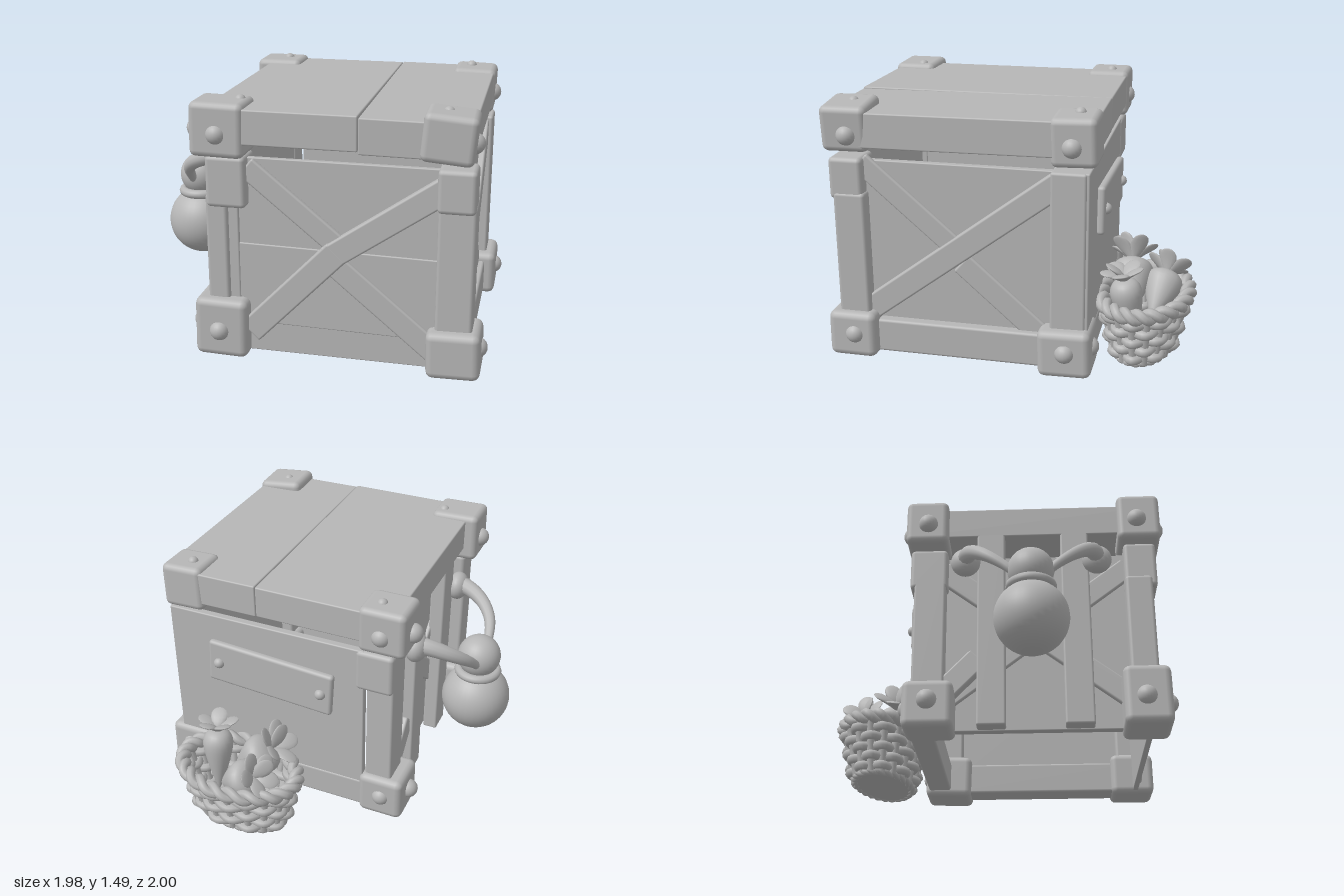
import * as THREE from 'three';
import { RoundedBoxGeometry } from 'three/addons/geometries/RoundedBoxGeometry.js';

const grey = new THREE.MeshStandardMaterial({ color: 0xb6b6b6 });
grey.name = 'plain grey';
const V = (x, y, z) => new THREE.Vector3(x, y, z);

function add(parent, name, geometry, pos = [0, 0, 0], rot = [0, 0, 0]) {
  const mesh = new THREE.Mesh(geometry, grey);
  mesh.name = name;
  mesh.position.set(...pos);
  mesh.rotation.set(...rot);
  parent.add(mesh);
  return mesh;
}

// Softened block given by its limits on each axis
function block(parent, name, [x0, x1], [y0, y1], [z0, z1], radius = 0.015, rot) {
  const w = x1 - x0, h = y1 - y0, d = z1 - z0;
  const r = Math.min(radius, w / 2.1, h / 2.1, d / 2.1);
  return add(parent, name, new RoundedBoxGeometry(w, h, d, 2, r),
    [(x0 + x1) / 2, (y0 + y1) / 2, (z0 + z1) / 2], rot);
}

function bolt(parent, x, y, z, r = 0.055) {
  add(parent, 'bolt', new THREE.SphereGeometry(r, 20, 14), [x, y, z]);
}

function tube(parent, name, points, radius, closed = false, steps = 40, sides = 8) {
  const curve = new THREE.CatmullRomCurve3(points, closed);
  return add(parent, name, new THREE.TubeGeometry(curve, steps, radius, sides, closed));
}

// Diagonal plank on a front-facing (xy) or side-facing (zy) wall
function brace(parent, name, a, b, width, depth, at, side = false) {
  const dx = b[0] - a[0], dy = b[1] - a[1], len = Math.hypot(dx, dy), ang = Math.atan2(dy, dx);
  const cx = (a[0] + b[0]) / 2, cy = (a[1] + b[1]) / 2;
  if (side) {
    add(parent, name, new RoundedBoxGeometry(depth, width, len, 2, 0.012), [at, cy, cx], [-ang, 0, 0]);
  } else {
    add(parent, name, new RoundedBoxGeometry(len, width, depth, 2, 0.012), [cx, cy, at], [0, 0, ang]);
  }
}

function buildCrate() {
  const g = new THREE.Group();
  g.name = 'crate';
  // Walls
  block(g, 'frontBoardLow', [-0.4, 0.76], [0.075, 0.26], [0.835, 0.868], 0.006);
  block(g, 'frontBoardMiddle', [-0.4, 0.76], [0.24, 0.695], [0.835, 0.874], 0.006, [0, 0, -0.012]);
  block(g, 'frontBoardTop', [-0.4, 0.76], [0.68, 1.175], [0.835, 0.866], 0.006);
  block(g, 'rightWall', [0.79, 0.83], [0.1, 1.17], [-0.42, 0.85], 0.006);
  block(g, 'leftWall', [-0.4, -0.35], [0.09, 1.17], [-0.42, 0.85], 0.006);
  block(g, 'backWall', [-0.33, 0.88], [0.1, 1.18], [-0.465, -0.42], 0.008);

  // Upright posts with capped tops
  block(g, 'frontRightPost', [0.71, 0.905], [0.25, 1.0], [0.74, 0.915], 0.02);
  block(g, 'frontRightCap', [0.705, 0.9], [0.96, 1.19], [0.75, 0.935], 0.025);
  block(g, 'frontLeftPost', [-0.52, -0.4], [0.3, 0.97], [0.75, 0.905], 0.02);
  block(g, 'frontLeftInnerPost', [-0.41, -0.345], [0.1, 1.17], [0.8, 0.88], 0.01);
  block(g, 'frontLeftCap', [-0.505, -0.29], [0.91, 1.19], [0.75, 0.935], 0.025);
  block(g, 'backRightPost', [0.71, 0.89], [0.2, 1.18], [-0.45, -0.26], 0.015);
  block(g, 'backLeftPost', [-0.5, -0.34], [0.2, 1.0], [-0.45, -0.27], 0.015);
  block(g, 'backLeftCap', [-0.5, -0.28], [0.93, 1.18], [-0.475, -0.26], 0.025);

  // Bottom rails
  block(g, 'rightRail', [0.71, 0.885], [0.08, 0.27], [-0.3, 0.8], 0.015);
  block(g, 'backRail', [-0.4, 0.8], [0.09, 0.27], [-0.47, -0.33], 0.015);

  // Left slats rise to the lid
  for (const [z0, z1] of [[-0.09, 0.07], [0.39, 0.55]]) {
    block(g, 'leftSlat', [-0.5, -0.41], [0.09, 1.28], [z0, z1], 0.012);
  }

  // Crossed braces, slightly crooked where they meet
  brace(g, 'frontBraceUnder', [-0.3, 1.13], [0.2, 0.72], 0.12, 0.035, 0.876);
  brace(g, 'frontBraceUnder', [0.15, 0.64], [0.76, 0.13], 0.13, 0.035, 0.876);
  brace(g, 'frontBrace', [-0.29, 0.2], [0.19, 0.7], 0.14, 0.05, 0.89);
  brace(g, 'frontBrace', [0.14, 0.66], [0.76, 1.09], 0.135, 0.05, 0.889);
  brace(g, 'rightBraceUnder', [0.78, 1.16], [0.25, 0.7], 0.12, 0.03, 0.835, true);
  brace(g, 'rightBraceUnder', [0.23, 0.63], [-0.28, 0.18], 0.13, 0.03, 0.835, true);
  brace(g, 'rightBrace', [0.78, 0.3], [-0.3, 1.11], 0.135, 0.05, 0.842, true);
  brace(g, 'leftBraceUnder', [0.78, 1.08], [-0.3, 0.25], 0.13, 0.03, -0.41, true);
  brace(g, 'leftBrace', [0.78, 0.25], [-0.3, 1.08], 0.13, 0.04, -0.41, true);
  brace(g, 'leftFootBrace', [-0.32, 0.25], [-0.08, 0.5], 0.13, 0.08, -0.44, true);

  // Bottom corner brackets
  const corner = (...a) => block(g, 'bottomCorner', ...a);
  corner([-0.59, -0.295], [0.055, 0.39], [0.7, 0.96], 0.04, [0, 0, -0.02]);
  corner([0.67, 0.955], [0.06, 0.32], [0.7, 0.97], 0.04, [0, 0, 0.025]);
  corner([-0.58, -0.31], [0.06, 0.33], [-0.49, -0.21], 0.04);
  corner([0.67, 0.95], [0.055, 0.32], [-0.49, -0.2], 0.04, [0.025, 0, 0]);
  bolt(g, -0.45, 0.21, 0.945);
  for (const z of [0.82, -0.35]) {
    bolt(g, -0.58, 0.21, z);
    bolt(g, 0.93, 0.2, z);
  }
  bolt(g, -0.45, 0.2, -0.465);
  bolt(g, 0.82, 0.2, -0.465);
  return g;
}

function buildLid() {
  const g = new THREE.Group();
  g.name = 'lid';
  block(g, 'lidBoardLeft', [-0.5, 0.304], [1.26, 1.445], [-0.49, 0.95], 0.008);
  block(g, 'lidBoardRight', [0.307, 0.88], [1.25, 1.44], [-0.49, 0.95], 0.008, [0.008, 0, -0.008]);
  const corner = (...a) => block(g, 'lidCorner', ...a);
  corner([-0.575, -0.285], [1.185, 1.475], [0.72, 0.965], 0.035, [0, 0, -0.02]);
  corner([0.62, 0.89], [1.225, 1.475], [0.72, 0.975], 0.035, [0, 0.03, -0.09]);
  corner([-0.57, -0.3], [1.2, 1.47], [-0.5, -0.255], 0.035);
  corner([0.64, 0.89], [1.205, 1.465], [-0.5, -0.255], 0.035, [0.03, 0, -0.03]);
  bolt(g, -0.43, 1.31, 0.94);
  bolt(g, -0.43, 1.31, -0.475);
  for (const z of [0.83, -0.37]) {
    bolt(g, -0.57, 1.31, z);
    bolt(g, 0.87, 1.31, z);
  }
  for (const [x, z] of [[-0.4, -0.39], [0.74, -0.39], [-0.34, 0.8], [0.74, 0.83]]) bolt(g, x, 1.46, z, 0.03);
  return g;
}

// Name plate without lettering, on the back wall
function buildPlaque() {
  const g = new THREE.Group();
  g.name = 'plaque';
  add(g, 'plaqueBoard', new RoundedBoxGeometry(0.78, 0.27, 0.045, 3, 0.02));
  bolt(g, -0.32, 0, -0.02, 0.032);
  bolt(g, 0.32, 0, -0.02, 0.032);
  g.position.set(0.235, 0.875, -0.485);
  g.rotation.z = 0.06;
  return g;
}

// Two tapering arms on the left wall carrying a gourd flask
function buildFlask() {
  const g = new THREE.Group();
  g.name = 'flask';
  const half = [[-0.47, 1.08, 0.37], [-0.57, 1.085, 0.365], [-0.69, 1.04, 0.32],
    [-0.77, 0.97, 0.24], [-0.8, 0.88, 0.13], [-0.8, 0.84, 0.09]];
  const steps = 28, sides = 12;
  for (const s of [-1, 1]) {
    const arm = tube(g, 'arm', half.map(([x, y, z]) => V(x, y, 0.22 + s * z)), 0.055, false, steps, sides);
    const { path } = arm.geometry.parameters, p = arm.geometry.attributes.position;
    for (let k = 0; k < p.count; k++) {
      const t = Math.floor(k / (sides + 1)) / steps, c = path.getPointAt(t);
      const v = V(0, 0, 0).fromBufferAttribute(p, k).sub(c).multiplyScalar(1 - 0.6 * t).add(c);
      p.setXYZ(k, v.x, v.y, v.z);
    }
    const mount = add(g, 'armMount', new THREE.SphereGeometry(0.085, 20, 14), [-0.52, 1.075, 0.22 + s * 0.375]);
    mount.scale.x = 0.75;
  }
  add(g, 'gourdBody', new THREE.SphereGeometry(0.203, 32, 24), [-0.787, 0.575, 0.22]);
  add(g, 'gourdTop', new THREE.SphereGeometry(0.127, 28, 20), [-0.787, 0.86, 0.22]);
  add(g, 'gourdBand', new THREE.TorusGeometry(0.112, 0.027, 10, 36), [-0.787, 0.76, 0.22], [Math.PI / 2, 0, 0]);
  return g;
}

// Root vegetable from tip to crown, with leaves spreading from the crown
function buildCarrot(tip, crown, radius, lean, leafLength) {
  const g = new THREE.Group();
  g.name = 'carrot';
  const len = tip.distanceTo(crown);
  const profile = [[0.001, 0], [0.35, 0.2], [0.75, 0.5], [1, 0.78], [0.85, 0.93], [0.45, 1], [0.001, 1.01]]
    .map(([r, t]) => new THREE.Vector2(r * radius, t * len));
  add(g, 'carrotBody', new THREE.LatheGeometry(new THREE.SplineCurve(profile).getPoints(20), 20));
  for (let i = 0; i < 6; i++) {
    const blade = new THREE.SphereGeometry(1, 12, 10);
    const p = blade.attributes.position;
    for (let k = 0; k < p.count; k++) {
      const t = (p.getY(k) + 1) / 2;
      p.setXYZ(k, p.getX(k) * 0.05 * (0.4 + t), t * leafLength, p.getZ(k) * 0.018 + 0.07 * t * t);
    }
    blade.computeVertexNormals();
    const leaf = new THREE.Group();
    leaf.name = 'leaf';
    add(leaf, 'leafBlade', blade, [0, 0, 0], [i === 0 ? 0.1 : 0.5, 0, 0]);
    leaf.position.y = len * 0.97;
    leaf.rotation.y = i * 1.257 + lean;
    g.add(leaf);
  }
  g.position.copy(tip);
  g.quaternion.setFromUnitVectors(V(0, 1, 0), crown.clone().sub(tip).normalize());
  return g;
}

// Oval basket, narrower from front to back
function buildBasket() {
  const g = new THREE.Group();
  g.name = 'basket';
  const stakes = 18, radiusAt = y => 0.285 + 0.22 * Math.min(y, 0.34);
  const oval = (a, r, y) => V(r * Math.cos(a), y, (r - 0.125) * Math.sin(a));
  const ring = (n, fn) => Array.from({ length: n }, (_, i) => fn(i / n * Math.PI * 2));
  // Woven rows pass alternately in front of and behind the stakes
  for (let row = 0; row < 5; row++) {
    const y = 0.06 + row * 0.056;
    const pts = ring(stakes * 4, a => oval(a, radiusAt(y) + 0.022 * Math.cos(a * stakes / 2 + row * Math.PI), y));
    tube(g, 'wovenRow', pts, 0.028, true, 144, 7);
  }
  ring(stakes, a => tube(g, 'stake', [0.03, 0.18, 0.33].map(y => oval(a, radiusAt(y), y)), 0.024, false, 4, 7));
  // Twisted rims at the top and the foot
  const rim = (name, R, y, twist, thick, turns) => {
    for (const s of [0, Math.PI]) {
      const pts = ring(120, a => oval(a, R + twist * Math.cos(turns * a + s), y + twist * Math.sin(turns * a + s)));
      tube(g, name, pts, thick, true, 180, 8);
    }
  };
  rim('topRim', 0.367, 0.342, 0.022, 0.027, 11);
  rim('footRim', 0.285, 0.028, 0.008, 0.018, 12);
  const floor = add(g, 'basketFloor', new THREE.CylinderGeometry(0.285, 0.275, 0.03, 36), [0, 0.027, 0]);
  floor.scale.z = 0.57;
  g.position.set(0.35, 0, -0.712);
  g.rotation.y = -0.1;
  return g;
}

export function createModel() {
  const model = new THREE.Group();
  model.name = 'travelCrate';
  model.add(buildCrate(), buildLid(), buildPlaque(), buildFlask(), buildBasket());
  model.add(
    buildCarrot(V(0.52, 0.08, -0.68), V(0.54, 0.48, -0.61), 0.09, 0.3, 0.13),
    buildCarrot(V(0.43, 0.22, -0.64), V(0.19, 0.46, -0.62), 0.12, 0.8, 0.17),
    buildCarrot(V(0.45, 0.22, -0.76), V(0.21, 0.4, -0.82), 0.11, 0.1, 0.15),
  );
  return model;
}
